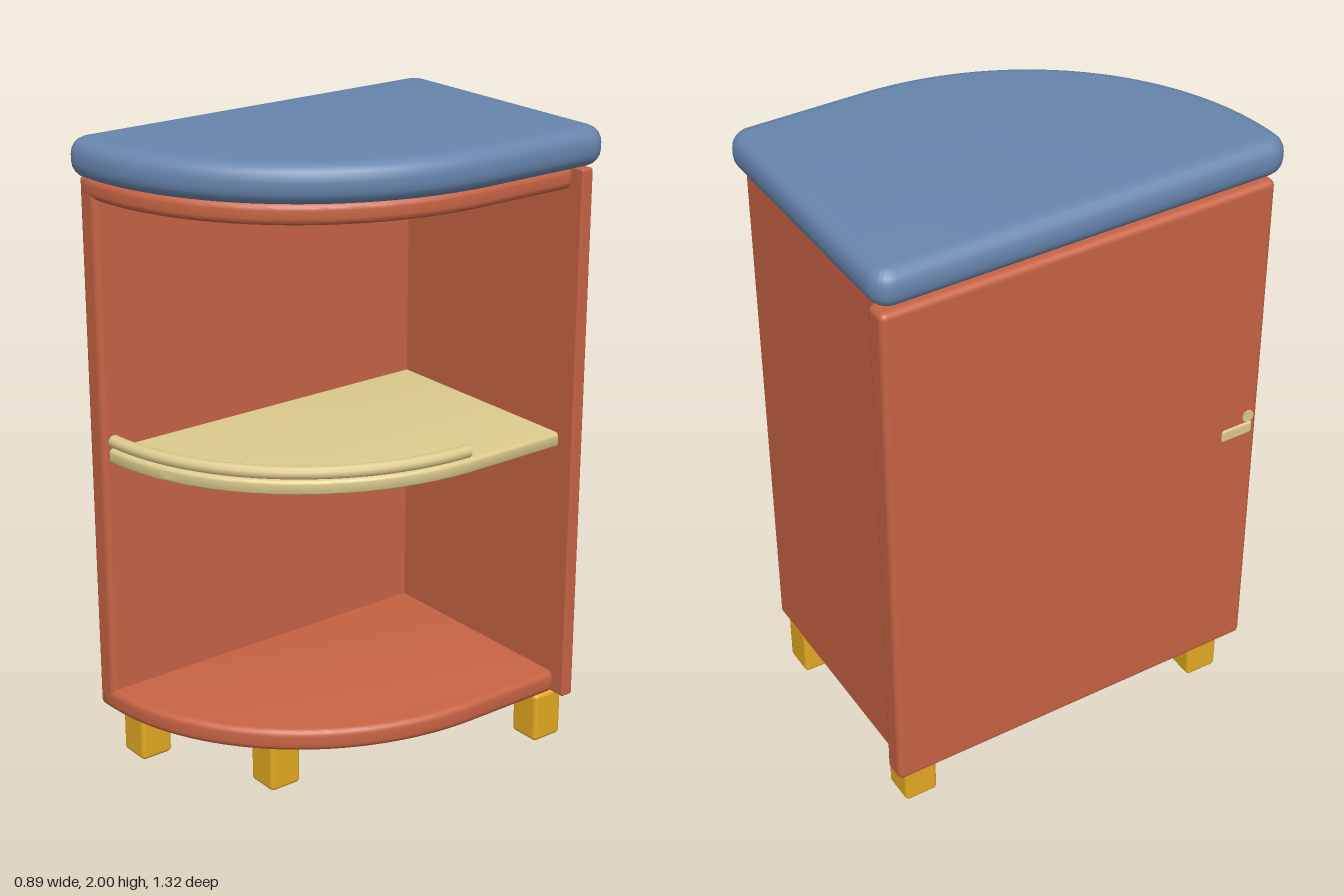
import * as THREE from 'three';
import { toCreasedNormals } from 'three/addons/utils/BufferGeometryUtils.js';
import { RoundedBoxGeometry } from 'three/addons/geometries/RoundedBoxGeometry.js';

// Centre of the quarter ellipse that every curved board follows
const CX = -0.4, CZ = -0.23;

const paint = (name, color) => {
  const m = new THREE.MeshStandardMaterial({ color });
  m.name = name;
  return m;
};

// Board with straight left, back and right edges, a curved front and a rounded rim
function curvedBoard({ left, right, back, front, y0, y1, bevel, corner }) {
  const l = left + bevel, r = right - bevel, b = -back - bevel, f = -front + bevel;
  const rx = r - CX, rz = -CZ - f;
  const end = -Math.acos((l + corner - CX) / rx);
  const s = new THREE.Shape();
  s.moveTo(l, f + corner);
  s.lineTo(l, b - corner);
  s.quadraticCurveTo(l, b, l + corner, b);
  s.lineTo(r - corner, b);
  s.quadraticCurveTo(r, b, r, b - corner);
  s.lineTo(r, -CZ);
  s.absellipse(CX, -CZ, rx, rz, 0, end, true);
  s.quadraticCurveTo(l, f, l, f + corner);
  const g = new THREE.ExtrudeGeometry(s, {
    depth: y1 - y0 - 2 * bevel, bevelSize: bevel, bevelThickness: bevel,
    bevelSegments: 5, curveSegments: 24,
  });
  g.rotateX(-Math.PI / 2);
  g.translate(0, y0 + bevel, 0);
  return toCreasedNormals(g, 0.6);
}

// Softened box given by its minimum and maximum corners
function block([x0, y0, z0], [x1, y1, z1], radius) {
  const g = new RoundedBoxGeometry(x1 - x0, y1 - y0, z1 - z0, 4, radius);
  g.translate((x0 + x1) / 2, (y0 + y1) / 2, (z0 + z1) / 2);
  return g;
}

export function createModel() {
  const group = new THREE.Group();
  const red = paint('red wood', 0xc66344);
  const blue = paint('blue worktop', 0x6785ad);
  const cream = paint('cream shelf', 0xdccb8e);
  const gold = paint('gold feet', 0xe2aa22);

  const add = (name, geometry, material) => {
    const mesh = new THREE.Mesh(geometry, material);
    mesh.name = name;
    group.add(mesh);
  };

  // Worktop
  add('worktop', curvedBoard({
    left: -0.44, right: 0.44, back: -0.66, front: 0.66,
    y0: 1.88, y1: 2, bevel: 0.05, corner: 0.015,
  }), blue);

  // Side panel, standing proud of the thinner back panel
  add('sidePanel', block([-0.44, 0.16, -0.652], [-0.36, 1.88, 0.612], 0.02), red);
  add('backPanel', block([-0.38, 0.16, -0.607], [0.43, 1.88, -0.565], 0.006), red);

  // Top and bottom boards
  for (const [name, y0, y1] of [['bottomBoard', 0.16, 0.232], ['topBoard', 1.812, 1.879]]) {
    add(name, curvedBoard({
      left: -0.437, right: 0.385, back: -0.58, front: 0.613,
      y0, y1, bevel: 0.022, corner: 0.005,
    }), red);
  }

  // Middle shelf, with its end showing through the side panel
  add('shelf', curvedBoard({
    left: -0.42, right: 0.368, back: -0.58, front: 0.592,
    y0: 0.996, y1: 1.042, bevel: 0.012, corner: 0.005,
  }), cream);
  add('shelfEnd', block([-0.445, 0.996, 0.48], [-0.4, 1.042, 0.592], 0.01), cream);

  // Guard rail along the curved edge of the shelf
  const points = [];
  for (let i = 0; i <= 24; i++) {
    const a = (i / 24) * Math.PI / 2;
    points.push(new THREE.Vector3(CX + 0.752 * Math.cos(a), 1.064, -0.215 + 0.79 * Math.sin(a)));
  }
  points.push(new THREE.Vector3(-0.445, 1.064, 0.573));
  const path = new THREE.CatmullRomCurve3(points);
  add('shelfRail', new THREE.TubeGeometry(path, 56, 0.02, 10), cream);
  for (const [i, p] of [points[0], points[points.length - 1]].entries()) {
    const cap = new THREE.CircleGeometry(0.02, 10);
    cap.rotateY(i ? -Math.PI / 2 : Math.PI);
    cap.translate(p.x, p.y, p.z);
    add('railCap', cap, cream);
  }

  // Feet
  for (const [x, z] of [[-0.335, 0.505], [0.07, 0.3], [0.33, -0.55], [-0.335, -0.55]]) {
    add('foot', block([x - 0.055, 0, z - 0.055], [x + 0.055, 0.165, z + 0.055], 0.014), gold);
  }
  return group;
}
